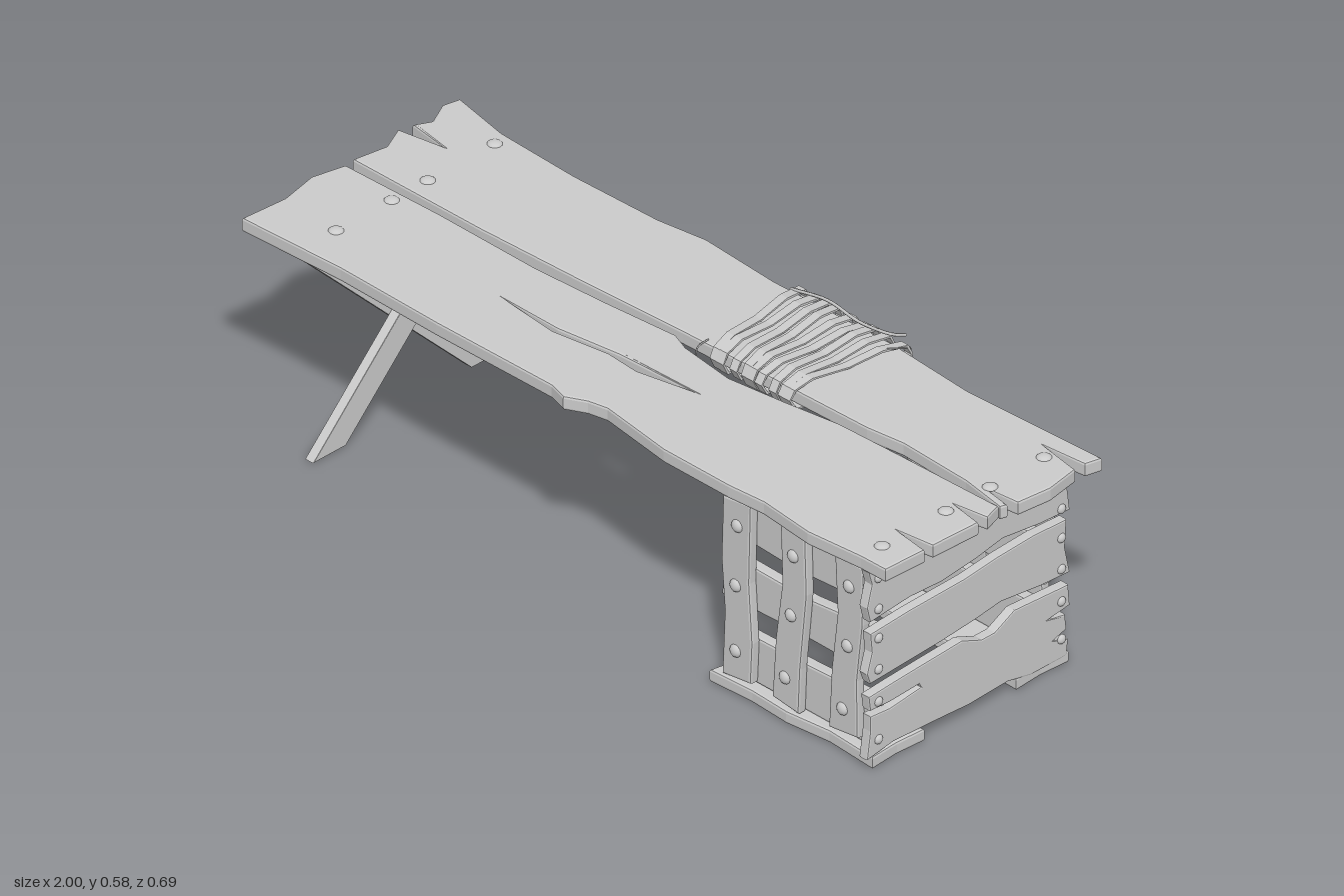
import * as THREE from 'three';

const mat = new THREE.MeshStandardMaterial({ color: 0xcccccc });
const vec = (pts) => pts.map(([a, b]) => new THREE.Vector2(a, b));

// Board cut from an outline, with worn (bevelled) edges; spans 0..t along local z.
function board(outline, t, hole, b = 0.006) {
  const shape = new THREE.Shape(vec(outline));
  if (hole) shape.holes.push(new THREE.Path(vec(hole)));
  const g = new THREE.ExtrudeGeometry(shape, {
    depth: t - 2 * b, bevelEnabled: b > 0, bevelThickness: b, bevelSize: b, bevelOffset: -b, bevelSegments: 2,
  });
  return g.translate(0, 0, b);
}

// Board lying flat: outline in (x, z), top face at y.
const flat = (outline, t, y, hole) => board(outline, t, hole).rotateX(Math.PI / 2).translate(0, y, 0);

// Board facing sideways: outline in (z, y), starting at x and growing towards +x.
const sideways = (outline, t, x, b) =>
  board(outline.map(([z, y]) => [-z, y]), t, null, b).rotateY(Math.PI / 2).translate(x, 0, 0);

export function createModel() {
  const root = new THREE.Group();
  const add = (name, geo, parent = root) => {
    const m = new THREE.Mesh(geo, mat);
    m.name = name;
    parent.add(m);
    return m;
  };
  const group = (name) => {
    const g = new THREE.Group();
    g.name = name;
    root.add(g);
    return g;
  };

  // Domed nail head at p, pointing along dir
  const dome = new THREE.SphereGeometry(1, 12, 5, 0, Math.PI * 2, 0, Math.PI / 2);
  const up = new THREE.Vector3(0, 1, 0);
  function nail(parent, p, dir, r = 0.012, h = 0.009) {
    const m = add('nail', dome, parent);
    m.position.set(...p);
    m.scale.set(r, h, r);
    m.quaternion.setFromUnitVectors(up, new THREE.Vector3(...dir));
  }

  // Table top: two weathered planks
  const top = group('tableTop');
  add('backPlank', flat([
    [-0.99, -0.345], [-0.83, -0.312], [-0.6, -0.302], [-0.35, -0.307], [-0.22, -0.325], [0, -0.31], [0.36, -0.315],
    [0.6, -0.297], [0.8, -0.305], [0.995, -0.312], [0.985, -0.27], [0.87, -0.258], [0.985, -0.24], [1, -0.15],
    [0.99, -0.06], [0.9, -0.05], [0.98, -0.038], [0.975, -0.02], [0.85, -0.042], [0.65, -0.052], [0.55, -0.04], [0, -0.03],
    [-0.3, -0.018], [-0.6, -0.01], [-0.985, -0.012], [-0.97, -0.1], [-1, -0.165], [-0.875, -0.184], [-0.99, -0.2],
    [-0.97, -0.24], [-1, -0.3],
  ], 0.036, 0.548), top);
  add('frontPlank', flat([
    [-0.98, 0.015], [-0.7, 0.01], [-0.4, 0.015], [-0.2, 0.005], [0, -0.01], [0.05, 0.01], [0.2, 0.03], [0.35, 0.012],
    [0.5, -0.01], [0.7, -0.015], [0.97, -0.02], [0.985, 0.028], [0.9, 0.043], [0.985, 0.056], [0.98, 0.19],
    [0.885, 0.203], [0.98, 0.215], [0.975, 0.33], [0.9, 0.33], [0.75, 0.342], [0.6, 0.325], [0.5, 0.332], [0.3, 0.33],
    [0.1, 0.3], [0.05, 0.31], [0, 0.335], [-0.05, 0.32], [-0.4, 0.32], [-0.7, 0.312], [-0.99, 0.322], [-0.98, 0.2], [-1, 0.1],
  ], 0.036, 0.548, [[-0.37, 0.15], [-0.2, 0.152], [-0.03, 0.13], [0.2, 0.121], [0.04, 0.15], [-0.05, 0.143], [-0.2, 0.165]]), top);
  for (const z of [-0.27, -0.065, 0.045, 0.215]) nail(top, [-0.81, 0.547, z], [0, 1, 0], 0.018, 0.008);
  for (const z of [-0.225, -0.06, 0.075, 0.27]) nail(top, [0.905, 0.547, z], [0, 1, 0], 0.018, 0.008);

  // Crossed legs under the left end, with a cross bar and a pivot bolt
  const legs = group('crossedLegs');
  add('crossBar', flat([
    [-0.92, -0.25], [-0.72, -0.27], [-0.7, 0.05], [-0.72, 0.27], [-0.91, 0.26], [-0.9, 0],
  ], 0.03, 0.514), legs);
  for (const [s, x] of [[1, -0.84], [-1, -0.815]]) {
    add('leg', sideways([
      [-s * 0.305, 0], [-s * 0.205, 0], [s * 0.285, 0.487], [s * 0.185, 0.487],
    ], 0.025, x, 0.002), legs);
  }
  nail(legs, [-0.84, 0.25, 0], [-1, 0, 0], 0.018, 0.016);
  nail(legs, [-0.79, 0.25, 0], [1, 0, 0], 0.018, 0.008);

  // Crate: outer end boards
  const crate = group('crate');
  const endBoards = [
    [[0.325, 0.51], [0.315, 0.475], [0.33, 0.42], [0.32, 0.38], [0.2, 0.39], [0.1, 0.385], [0, 0.395], [-0.085, 0.41],
      [-0.2, 0.395], [-0.29, 0.39], [-0.285, 0.43], [-0.275, 0.5], [-0.285, 0.512]],
    [[0.32, 0.35], [0.315, 0.3], [0.33, 0.25], [0.32, 0.222], [0.1, 0.232], [0, 0.24], [-0.08, 0.25], [-0.2, 0.235],
      [-0.29, 0.23], [-0.275, 0.3], [-0.28, 0.37], [-0.18, 0.375], [-0.07, 0.37], [0.03, 0.36], [0.2, 0.357]],
    [[0.325, 0.19], [0.32, 0.152], [0.26, 0.149], [0.17, 0.153], [0.165, 0.143], [0.26, 0.133], [0.32, 0.138], [0.32, 0.1],
      [0.33, 0.03], [0.25, 0.042], [0.1, 0.035], [0.02, 0.03], [-0.1, 0.035], [-0.17, 0.02], [-0.28, 0.02],
      [-0.285, 0.06], [-0.24, 0.077], [-0.28, 0.088], [-0.275, 0.128], [-0.22, 0.138], [-0.29, 0.145], [-0.285, 0.2],
      [-0.12, 0.21], [-0.06, 0.18], [-0.02, 0.18], [0.04, 0.205], [0.15, 0.2], [0.25, 0.195]],
  ];
  for (const o of endBoards) add('endBoard', sideways(o, 0.026, 0.894, 0.004), crate);
  for (const y of [0.485, 0.405, 0.33, 0.25, 0.167, 0.07]) {
    for (const z of [0.296, -0.263]) nail(crate, [0.919, y, z], [1, 0, 0]);
  }

  // Crate: front and back walls, rails inside and slats outside
  const rails = [
    [[0.45, 0.51], [0.445, 0.39], [0.65, 0.378], [0.9, 0.392], [0.9, 0.51]],
    [[0.432, 0.33], [0.44, 0.28], [0.43, 0.215], [0.65, 0.22], [0.9, 0.215], [0.9, 0.34], [0.7, 0.322]],
    [[0.44, 0.15], [0.44, 0.035], [0.9, 0.03], [0.9, 0.16], [0.7, 0.152]],
  ];
  const slats = [
    [[0.46, 0.495], [0.545, 0.505], [0.54, 0.3], [0.55, 0.15], [0.545, 0.045], [0.458, 0.035], [0.465, 0.2], [0.455, 0.33]],
    [[0.635, 0.5], [0.71, 0.51], [0.715, 0.35], [0.695, 0.15], [0.69, 0.035], [0.61, 0.045], [0.62, 0.2], [0.64, 0.35]],
    [[0.8, 0.505], [0.888, 0.5], [0.885, 0.35], [0.868, 0.2], [0.87, 0.055], [0.782, 0.045], [0.79, 0.2], [0.808, 0.35]],
  ];
  const nailX = [[0.505, 0.5, 0.5], [0.675, 0.668, 0.65], [0.845, 0.84, 0.825]];
  const mid = 0.015;
  for (const s of [1, -1]) {
    const z0 = (near, t) => (s > 0 ? mid + near : mid - near - t);
    for (const o of rails) add('rail', board(o, 0.03).translate(0, 0, z0(0.24, 0.03)), crate);
    slats.forEach((o, i) => {
      add('slat', board(o, 0.026).translate(0, 0, z0(0.27, 0.026)), crate);
      [0.435, 0.28, 0.112].forEach((y, j) => nail(crate, [nailX[i][j], y, mid + s * 0.295], [0, 0, s], 0.016, 0.011));
    });
    // Foot plank under this wall
    add('footPlank', flat([
      [0.42, 0.14], [0.44, 0.22], [0.425, 0.3], [0.55, 0.295], [0.66, 0.302], [0.78, 0.29], [0.92, 0.3],
      [0.915, 0.22], [0.92, 0.14], [0.75, 0.145], [0.6, 0.135],
    ].map(([x, z]) => [x, mid + s * z]), 0.032, 0.032), crate);
  }

  // Cord bands wound around the back plank, each leaning a little differently
  const rope = group('ropeBinding');
  const loop = [
    [-0.03, 0.5], [-0.015, 0.53], [-0.028, 0.553], [-0.075, 0.567], [-0.17, 0.559], [-0.26, 0.568],
    [-0.325, 0.557], [-0.337, 0.53], [-0.328, 0.5], [-0.17, 0.494],
  ];
  const turns = 9;
  for (let i = 0; i < turns; i++) {
    const lift = 1 + 0.06 * Math.sin(i * 2.3);
    const ring = loop.map(([z, y]) => [0.175 + z, (y - 0.53) * lift]);
    const inner = ring.map(([z, y]) => [z * 0.97, y * 0.86]);
    const g = board(ring, 0.022, inner, 0).rotateY(-Math.PI / 2);
    const lean = -0.12 + 0.03 * i + 0.06 * Math.sin(i * 1.7);
    const p = g.attributes.position;
    for (let k = 0; k < p.count; k++) p.setX(k, p.getX(k) - lean * p.getZ(k));
    g.translate(0.1 + i * 0.0335, 0.53, -0.175);
    add('ropeTurn', g, rope);
  }

  // Loose thin cords: one diagonal over the bands, two frayed ends
  const cord = (pts, r) => add('looseCord', new THREE.TubeGeometry(
    new THREE.CatmullRomCurve3(pts.map((q) => new THREE.Vector3(...q))), 24, r, 5), rope);
  cord([[0.06, 0.56, -0.3], [0.16, 0.572, -0.31], [0.27, 0.57, -0.3], [0.36, 0.575, -0.31], [0.365, 0.56, -0.345]], 0.004);
  cord([[0.07, 0.555, -0.04], [0.055, 0.535, -0.02], [0.05, 0.48, -0.03], [0.05, 0.45, -0.06]], 0.002);
  cord([[0.36, 0.565, -0.25], [0.395, 0.56, -0.3], [0.38, 0.53, -0.345], [0.37, 0.49, -0.32], [0.36, 0.45, -0.29]], 0.002);

  return root;
}
